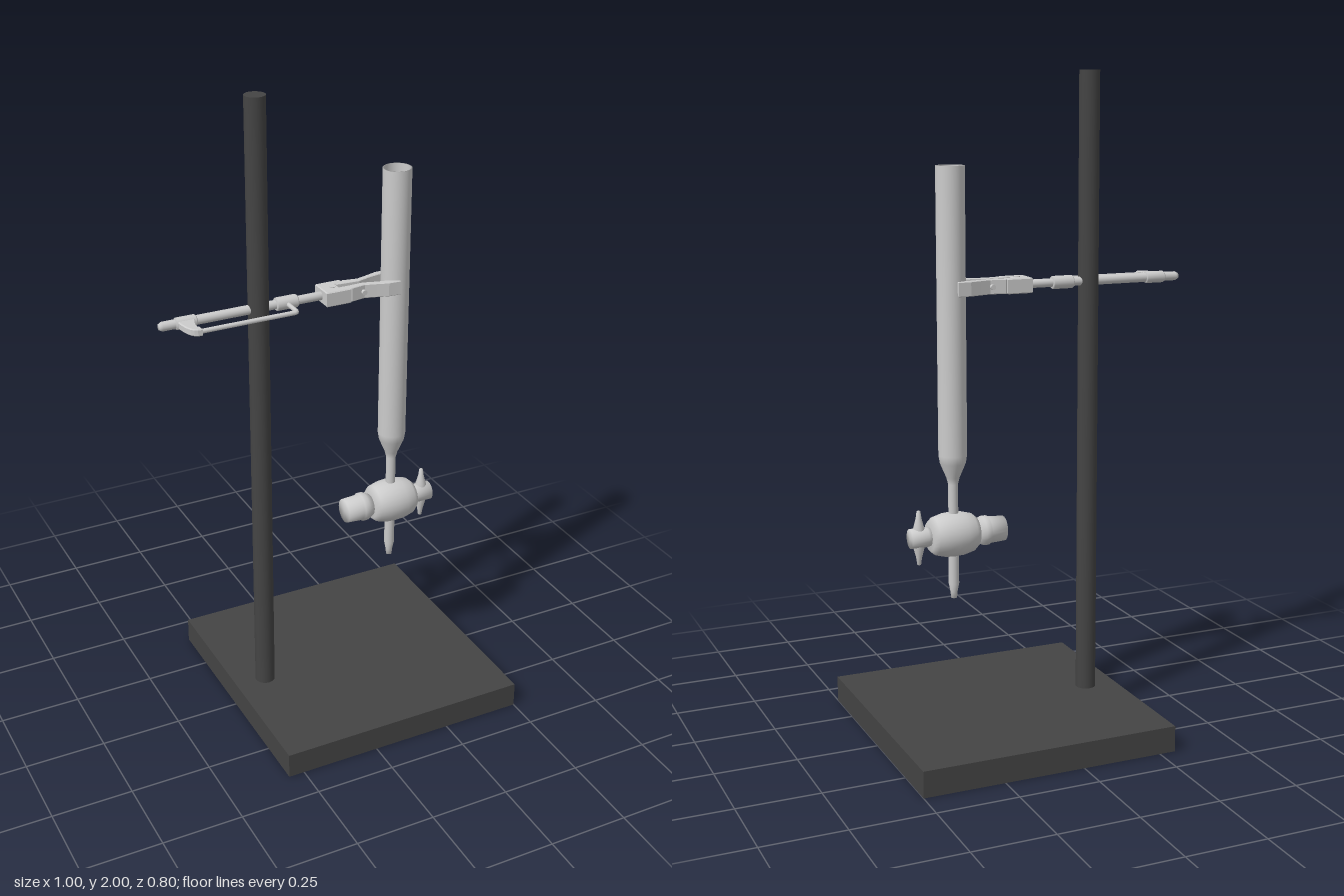
import * as THREE from 'three';

const grey = new THREE.MeshStandardMaterial({ color: 0xcccccc });
const greyOpen = new THREE.MeshStandardMaterial({ color: 0xcccccc, side: THREE.DoubleSide });
const dark = new THREE.MeshStandardMaterial({ color: 0x444444 });

export function createModel() {
  const model = new THREE.Group();
  const add = (name, geo, mat, x = 0, y = 0, z = 0) => {
    const m = new THREE.Mesh(geo, mat);
    m.name = name;
    m.position.set(x, y, z);
    model.add(m);
    return m;
  };
  const lathe = (pts, n) => new THREE.LatheGeometry(pts.map(p => new THREE.Vector2(...p)), n);
  // Lathe about the x axis; points are [radius, x] in rising x
  const latheX = (pts, n = 24) => lathe(pts, n).rotateZ(-Math.PI / 2);

  // Stand
  add('base', new THREE.BoxGeometry(0.8, 0.08, 0.8), dark, 0.1, 0.04, 0);
  add('standRod', new THREE.CylinderGeometry(0.031, 0.031, 1.92, 24), dark, -0.2, 1.04, 0.01);

  // Glass tube, open at the top, narrowing to the stopcock
  const tx = 0.243, tz = 0.014;
  add('buretteTube', lathe([
    [0.015, 0.65], [0.015, 0.785], [0.02, 0.805], [0.039, 0.85], [0.043, 0.875],
    [0.043, 1.73], [0.039, 1.73], [0.039, 0.875], [0.015, 0.8], [0.008, 0.7],
  ], 32), greyOpen, tx, 0, tz);
  add('outletTip', lathe([
    [0, 0.43], [0.009, 0.43], [0.011, 0.45], [0.016, 0.475], [0.016, 0.62],
  ], 20), grey, tx, 0, tz);

  // Stopcock, its axis along x
  const sy = 0.63;
  add('stopcockBarrel', latheX([
    [0, 0.17], [0.045, 0.17], [0.058, 0.185], [0.066, 0.215], [0.068, 0.245],
    [0.066, 0.275], [0.058, 0.305], [0.045, 0.32], [0, 0.32],
  ]), grey, 0, sy, tz);
  add('stopcockPlug', latheX([
    [0, 0.08], [0.038, 0.08], [0.041, 0.13], [0.045, 0.135], [0.045, 0.15],
    [0.034, 0.172], [0, 0.172],
  ]), grey, 0, sy, tz);
  add('stopcockStem', latheX([
    [0, 0.31], [0.026, 0.31], [0.03, 0.33], [0.03, 0.382], [0, 0.382],
  ]), grey, 0, sy, tz);
  // Two tapering wings form the handle
  for (const s of [1, -1]) {
    const wing = add('handleWing', lathe([
      [0.018, 0], [0.017, 0.03], [0.009, 0.06], [0.006, 0.082], [0, 0.086],
    ], 16), grey, 0.354, sy, tz);
    if (s < 0) wing.rotation.x = Math.PI;
  }

  // Clamp shaft with collars
  const cy = 1.375, cz = 0.008;
  add('clampShaft', latheX([
    [0, -0.505], [0.009, -0.505], [0.014, -0.495], [0.014, -0.2], [0.013, -0.075],
    [0.013, 0.02], [0, 0.02],
  ], 16), grey, 0, cy, cz);
  for (const [x0, x1, r] of [[-0.456, -0.392, 0.018], [-0.146, -0.077, 0.02]]) {
    add('shaftCollar', latheX([
      [0, x0], [r - 0.003, x0], [r, x0 + 0.004], [r, x1 - 0.004], [r - 0.003, x1], [0, x1],
    ], 16), grey, 0, cy, cz);
  }

  // Side bar bent around the stand rod, with a tapering root
  const V = (x, z) => new THREE.Vector3(x, 0, z);
  const bar = new THREE.CurvePath();
  bar.add(new THREE.LineCurve3(V(-0.415, 0.086), V(-0.12, 0.086)));
  bar.add(new THREE.QuadraticBezierCurve3(V(-0.12, 0.086), V(-0.112, 0.086), V(-0.112, 0.078)));
  bar.add(new THREE.LineCurve3(V(-0.112, 0.078), V(-0.112, 0.01)));
  add('sideBar', new THREE.TubeGeometry(bar, 60, 0.007, 10), grey, 0, cy, 0);
  const root = new THREE.Shape();
  root.moveTo(-0.45, 0.015);
  root.bezierCurveTo(-0.445, 0.06, -0.44, 0.093, -0.41, 0.093);
  root.lineTo(-0.41, 0.077);
  root.bezierCurveTo(-0.425, 0.07, -0.405, 0.035, -0.402, 0.015);
  const flat = (shape, h, bevel = 0.003) => new THREE.ExtrudeGeometry(shape, {
    depth: h - 2 * bevel, bevelSize: bevel, bevelThickness: bevel, bevelSegments: 1, curveSegments: 8,
  }).translate(0, 0, -h / 2 + bevel).rotateX(Math.PI / 2);
  add('sideBarRoot', flat(root, 0.022), grey, 0, cy, 0);

  // Clamp head and two jaws gripping the tube
  const head = new THREE.Shape([[0.003, -0.026], [0.077, -0.026], [0.077, -0.012], [0.05, -0.012],
    [0.05, 0.032], [0.077, 0.032], [0.077, 0.046], [0.003, 0.046]].map(p => new THREE.Vector2(...p)));
  add('clampHead', flat(head, 0.046), grey, 0, cy, 0);
  for (const s of [1, -1]) {
    const jaw = new THREE.Shape([[0.05, 0.012], [0.085, 0.032], [0.13, 0.024], [0.165, 0.034],
      [0.2, 0.045], [0.237, 0.047], [0.237, 0.038], [0.21, 0.03], [0.17, 0.022], [0.13, 0.01],
      [0.085, 0.012]].map(([x, z]) => new THREE.Vector2(x, 0.011 + s * z)));
    add('clampJaw', flat(jaw, 0.044, 0.002), grey, 0, cy, 0);
  }
  add('clampPin', new THREE.CylinderGeometry(0.01, 0.01, 0.05, 16), grey, 0.036, cy, 0.011);
  // Pivot bolt across the jaws
  const bolt = add('pivotBolt', new THREE.CylinderGeometry(0.008, 0.008, 0.074, 12), grey, 0.125, cy, 0.011);
  bolt.rotation.x = Math.PI / 2;

  return model;
}
